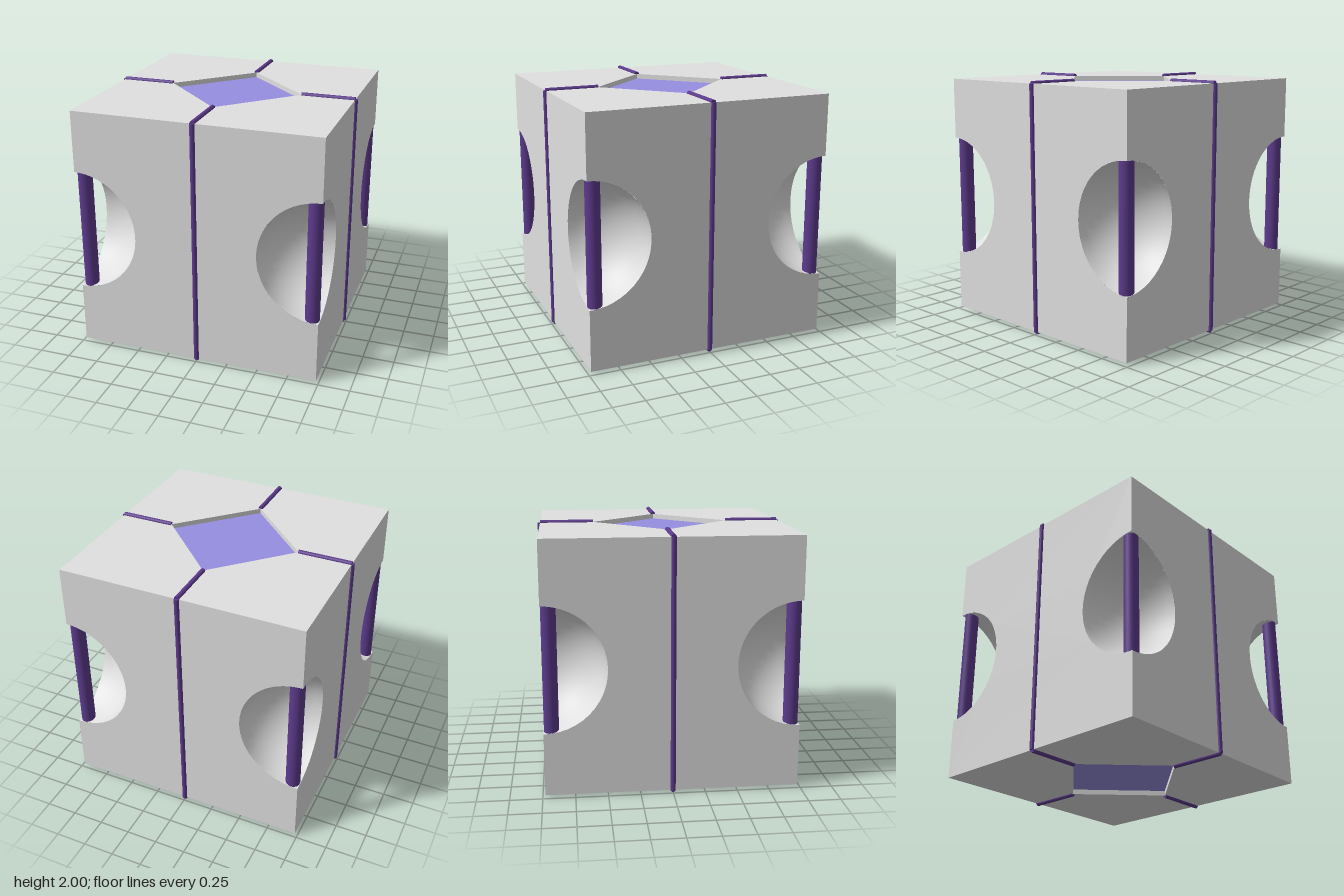
import * as THREE from 'three';

const H = 0.98;      // half size of the cube
const R = 0.49;      // radius of the scooped corners
const D = 0.55;      // half diagonal of the diamond recess
const DEPTH = 0.04;  // recess depth
const SEG = 24;

const material = (name, color) => {
  const m = new THREE.MeshStandardMaterial({ color });
  m.name = name;
  return m;
};

function add(parent, name, geometry, mat, x = 0, y = 0, z = 0) {
  const mesh = new THREE.Mesh(geometry, mat);
  mesh.name = name;
  mesh.position.set(x, y, z);
  parent.add(mesh);
  return mesh;
}

// Turn a geometry inside out so that its inner surface is the front
function inward(geometry, flat = false) {
  const g = flat ? geometry.toNonIndexed() : geometry;
  g.scale(-1, 1, 1);
  g.computeVertexNormals();
  return g;
}

export function createModel() {
  const shell = material('light grey shell', 0xe0e0e0);
  const purple = material('dark purple trim', 0x5c3a8c);
  const lilac = material('lilac panel', 0x968ee0);

  const model = new THREE.Group();
  model.name = 'cube';
  const body = new THREE.Group();
  body.name = 'body';
  body.position.y = 1;
  model.add(body);

  // Side wall: a square with a half circle cut from each upright edge
  const wall = new THREE.Shape();
  wall.moveTo(-H, -H);
  wall.lineTo(H, -H);
  wall.lineTo(H, -R);
  wall.absarc(H, 0, R, 1.5 * Math.PI, 0.5 * Math.PI, true);
  wall.lineTo(H, H);
  wall.lineTo(-H, H);
  wall.lineTo(-H, R);
  wall.absarc(-H, 0, R, 0.5 * Math.PI, -0.5 * Math.PI, true);
  const wallGeo = new THREE.ShapeGeometry(wall, SEG);

  // Quarter sphere scoop, rod across it, and raised seam
  const scoopGeo = inward(new THREE.SphereGeometry(R, SEG / 2, SEG, 0, Math.PI / 2));
  const rodGeo = new THREE.CylinderGeometry(0.057, 0.057, 1, 24);
  const seamGeo = new THREE.CylinderGeometry(0.02, 0.02, 2 * H, 16);

  for (let i = 0; i < 4; i++) {
    const side = new THREE.Group();
    side.name = 'side' + (i + 1);
    side.rotation.y = i * Math.PI / 2;
    add(side, 'wall', wallGeo, shell, 0, 0, H);
    add(side, 'cornerScoop', scoopGeo, shell, -H, 0, -H);
    add(side, 'cornerRod', rodGeo, purple, -0.92, 0, -0.92);
    add(side, 'seam', seamGeo, purple, 0, 0, H);
    body.add(side);
  }

  // Top and bottom: square plate with a diamond recess and four short seams
  const plate = new THREE.Shape([[-H, -H], [H, -H], [H, H], [-H, H]].map(p => new THREE.Vector2(...p)));
  plate.holes.push(new THREE.Path([[D, 0], [0, -D], [-D, 0], [0, D]].map(p => new THREE.Vector2(...p))));
  const plateGeo = new THREE.ShapeGeometry(plate).rotateX(-Math.PI / 2);
  const recessGeo = inward(new THREE.CylinderGeometry(D, D, DEPTH, 4, 1, true), true);
  const panelGeo = new THREE.CircleGeometry(D, 4).rotateX(-Math.PI / 2);
  const shortSeamGeo = new THREE.CylinderGeometry(0.02, 0.02, H - D, 16).rotateX(Math.PI / 2);

  ['top', 'bottom'].forEach((name, k) => {
    const cap = new THREE.Group();
    cap.name = name;
    cap.rotation.x = k * Math.PI;
    add(cap, 'plate', plateGeo, shell, 0, H, 0);
    add(cap, 'recessWalls', recessGeo, shell, 0, H - DEPTH / 2, 0);
    add(cap, 'diamondPanel', panelGeo, lilac, 0, H - DEPTH, 0);
    for (let i = 0; i < 4; i++) {
      const arm = new THREE.Group();
      arm.name = 'seamArm' + (i + 1);
      arm.rotation.y = i * Math.PI / 2;
      add(arm, 'shortSeam', shortSeamGeo, purple, 0, H, (H + D) / 2);
      cap.add(arm);
    }
    body.add(cap);
  });

  return model;
}
